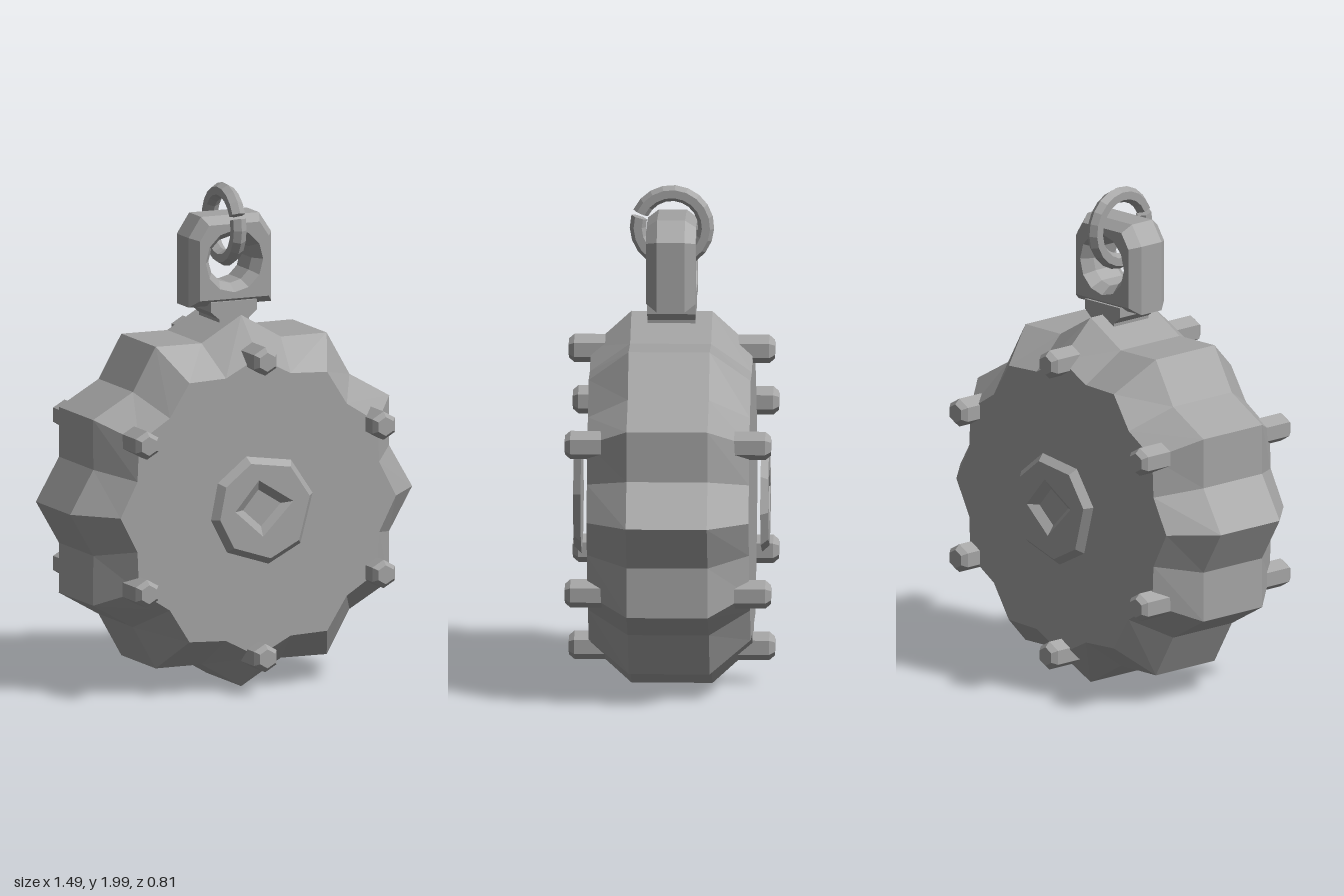
import * as THREE from 'three';

const CY = 0.75; // height of the drum axis

// Points at given angles (degrees) and radii, at depth z
const ring = (angles, radius, z) => angles.map((a, i) => {
  const r = typeof radius === 'function' ? radius(i) : radius;
  const t = THREE.MathUtils.degToRad(a);
  return new THREE.Vector3(r * Math.cos(t), r * Math.sin(t), z);
});

// Flat-faced skin through counter-clockwise rings ordered back to front
function loft(rings, capBack, capFront) {
  const p = [];
  const tri = (a, b, c) => [a, b, c].forEach(v => p.push(v.x, v.y, v.z));
  const n = rings[0].length;
  for (let k = 0; k < rings.length - 1; k++) {
    for (let i = 0; i < n; i++) {
      const j = (i + 1) % n, A = rings[k], B = rings[k + 1];
      tri(A[i], A[j], B[j]);
      tri(A[i], B[j], B[i]);
    }
  }
  const cap = (r, front) => {
    const c = new THREE.Vector3(0, 0, r[0].z);
    for (let i = 0; i < n; i++) {
      const j = (i + 1) % n;
      front ? tri(c, r[i], r[j]) : tri(c, r[j], r[i]);
    }
  };
  if (capBack) cap(rings[0], false);
  if (capFront) cap(rings[rings.length - 1], true);
  const g = new THREE.BufferGeometry();
  g.setAttribute('position', new THREE.Float32BufferAttribute(p, 3));
  g.computeVertexNormals();
  return g;
}

const evenAngles = (n, start = 0) => Array.from({ length: n }, (_, i) => start + i * 360 / n);

export function createModel() {
  const model = new THREE.Group();
  model.name = 'drumPendant';
  const grey = new THREE.MeshStandardMaterial({ color: 0xa3a3a3, flatShading: true });
  grey.name = 'plain grey';
  const ringGrey = grey; // ring shares the same colour
  const add = (parent, geometry, name, x = 0, y = 0, z = 0) => {
    const m = new THREE.Mesh(geometry, grey);
    m.name = name;
    m.position.set(x, y, z);
    parent.add(m);
    return m;
  };

  // Scalloped drum with twelve points and tapered rims
  const star = evenAngles(24);
  const rim = (z, outer, inner) => ring(star, i => (i % 2 ? inner : outer), z);
  add(model, loft([
    rim(-0.32, 0.6, 0.545), rim(-0.16, 0.745, 0.667),
    rim(0.16, 0.745, 0.667), rim(0.32, 0.6, 0.545),
  ], true, true), 'drumBody', 0, CY);

  // Bolts and medallion, the same on both faces
  const hex = evenAngles(6, 30);
  const bolt = loft([ring(hex, 0.057, 0.25), ring(hex, 0.057, 0.385), ring(hex, 0.038, 0.407)], true, true);

  const plateAngles = [12, 56, 108, 149, 188, 227, 277, 318];
  const holeAngles = [12, 103, 180, 265];
  const holeRadius = i => [0.125, 0.123, 0.13, 0.108][i];
  const plateEdge = ring(plateAngles, 0.198, 0.385);
  const hole = ring(holeAngles, holeRadius, 0.385);
  const floor = ring(holeAngles, i => holeRadius(i) * 0.65, 0.358);
  const flat = pts => pts.map(v => new THREE.Vector2(v.x, v.y));
  const faceShape = new THREE.Shape(flat(plateEdge));
  faceShape.holes.push(new THREE.Path(flat(hole)));

  for (const side of ['front', 'back']) {
    const face = new THREE.Group();
    face.name = side + 'Face';
    face.position.y = CY;
    if (side === 'back') face.rotation.y = Math.PI;
    for (let i = 0; i < 6; i++) {
      const a = (30 + i * 60) * Math.PI / 180;
      add(face, bolt, 'bolt', 0.595 * Math.cos(a), 0.595 * Math.sin(a));
    }
    const medallion = new THREE.Group();
    medallion.name = 'medallion';
    add(medallion, loft([ring(plateAngles, 0.225, 0.355), plateEdge], true, false), 'medallionRim');
    add(medallion, new THREE.ShapeGeometry(faceShape), 'medallionFace', 0, 0, 0.385);
    add(medallion, loft([floor, hole].map(r => r.slice().reverse()), false, false), 'recessWalls');
    add(medallion, new THREE.ShapeGeometry(new THREE.Shape(flat(floor))), 'recessFloor', 0, 0, 0.358);
    face.add(medallion);
    model.add(face);
  }

  // Hanger block with clipped top corners and a countersunk eye
  const b = 0.03, w = 0.15;
  const block = new THREE.Shape([
    [-w, 1.55], [w, 1.55], [w, 1.79], [0.11, 1.85], [-0.11, 1.85], [-w, 1.79],
  ].map(([x, y]) => new THREE.Vector2(x, y)));
  const eye = new THREE.Path();
  eye.absarc(0, 1.7, 0.125, 0, Math.PI * 2, true);
  block.holes.push(eye);
  const blockGeo = new THREE.ExtrudeGeometry(block, {
    depth: 0.11, bevelEnabled: true, bevelSize: b, bevelThickness: 0.043, bevelSegments: 1, curveSegments: 6,
  });
  blockGeo.translate(0, 0, -0.055);
  add(model, blockGeo, 'hangerBlock');

  // Neck flaring up into the block
  const neck = new THREE.Shape([
    [-0.06, 1.4], [0.06, 1.4], [0.065, 1.47], [0.1, 1.5], [0.1, 1.54], [-0.1, 1.54], [-0.1, 1.5], [-0.065, 1.47],
  ].map(([x, y]) => new THREE.Vector2(x, y)));
  const neckGeo = new THREE.ExtrudeGeometry(neck, { depth: 0.19, bevelEnabled: false });
  neckGeo.translate(0, 0, -0.095);
  add(model, neckGeo, 'hangerNeck');

  // Split ring through the eye, with closed ends
  const R = 0.135, r = 0.032, start = 0.42, arc = 6.15;
  const hoop = new THREE.Group();
  hoop.name = 'splitRing';
  hoop.position.y = 2 - R - r;
  hoop.rotation.y = -Math.PI / 2;
  add(hoop, new THREE.TorusGeometry(R, r, 6, 20, arc).rotateZ(start), 'ringLoop').material = ringGrey;
  for (const [a, turn] of [[start, Math.PI / 2], [start + arc, -Math.PI / 2]]) {
    const end = new THREE.CircleGeometry(r, 6).rotateX(turn).rotateZ(a);
    add(hoop, end, 'ringEnd', R * Math.cos(a), R * Math.sin(a));
  }
  model.add(hoop);
  return model;
}
